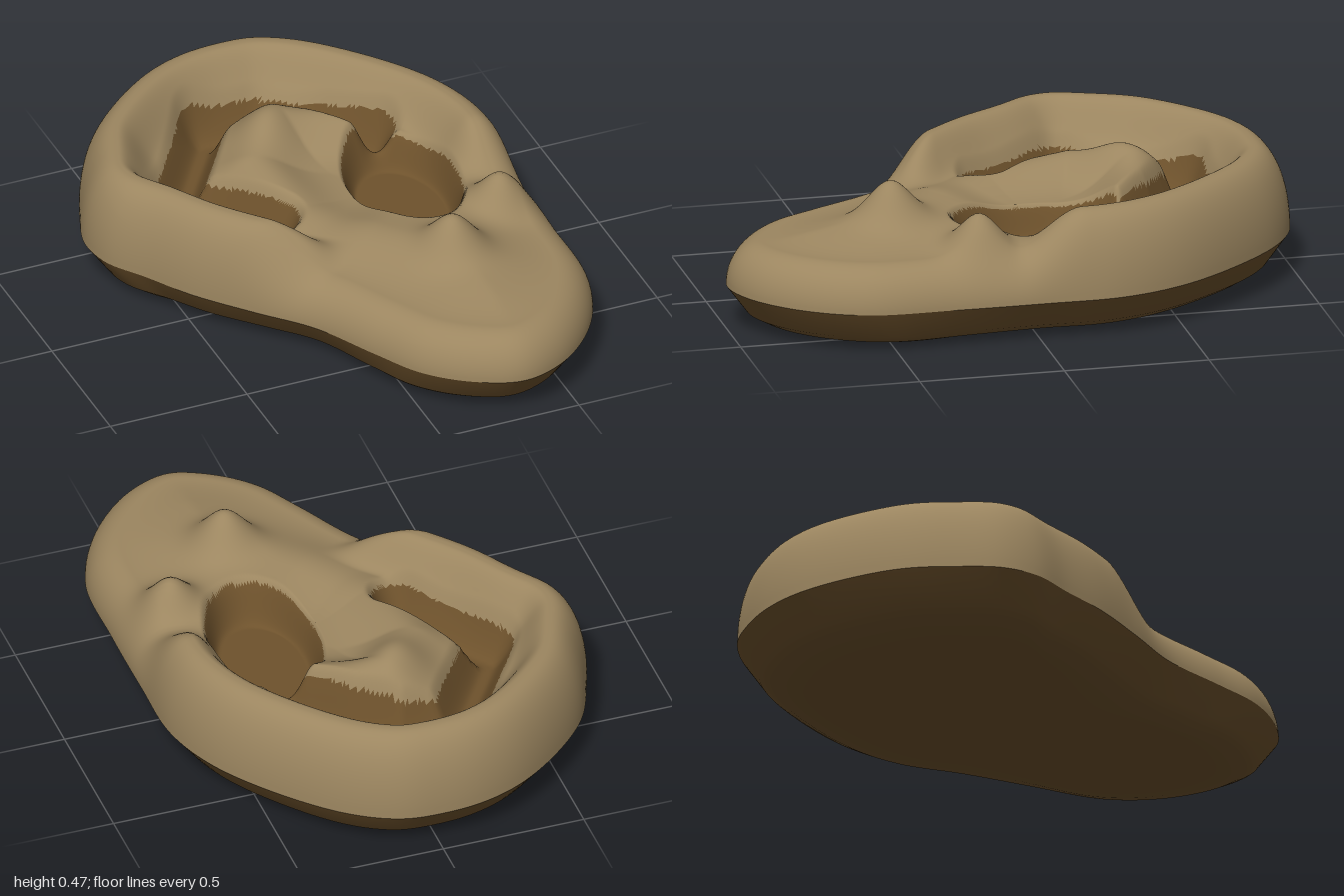
import * as THREE from 'three';

const SEG = 220, RINGS = 130, CX = 0.12, CZ = -0.04, EDGE_Y = 0.15;

// outline of the ear seen from above, as x, z
const outline = new THREE.CatmullRomCurve3([
  [0, -1], [0.14, -0.985], [0.3, -0.9], [0.5, -0.7], [0.65, -0.48], [0.72, -0.27], [0.727, 0], [0.727, 0.3],
  [0.715, 0.6], [0.62, 0.8], [0.46, 0.95], [0.3, 1], [0.14, 0.94], [0, 0.82], [-0.1, 0.65], [-0.22, 0.43],
  [-0.37, 0.26], [-0.52, 0.08], [-0.62, -0.08], [-0.71, -0.22], [-0.73, -0.35], [-0.685, -0.5],
  [-0.61, -0.66], [-0.47, -0.81], [-0.3, -0.93], [-0.15, -0.985],
].map(([x, z]) => new THREE.Vector3(x, 0, z)), true);
const rim = outline.getSpacedPoints(SEG).slice(0, SEG);
const rimPath = rim.map((p) => [p.x, p.z]);

// centre lines of the groove under the rim and of the inner fold
const groovePath = [[-0.18, -0.01], [-0.4, -0.32], [-0.16, -0.67], [0.03, -0.67], [0.2, -0.55], [0.34, -0.41]];
const foldPath = [[0.26, -0.4], [0.03, -0.47], [-0.13, -0.28], [-0.1, 0.02], [0.05, 0.28], [0.28, 0.42]];

const step = THREE.MathUtils.smoothstep;
const mix = THREE.MathUtils.lerp;

function distToPath(x, z, path, closed) {
  let best = Infinity;
  const n = path.length;
  for (let i = 0; i < (closed ? n : n - 1); i++) {
    const [ax, az] = path[i], [bx, bz] = path[(i + 1) % n];
    const dx = bx - ax, dz = bz - az;
    const t = THREE.MathUtils.clamp(((x - ax) * dx + (z - az) * dz) / (dx * dx + dz * dz), 0, 1);
    best = Math.min(best, Math.hypot(x - ax - t * dx, z - az - t * dz));
  }
  return best;
}
const bump = (x, z, bx, bz, s) => Math.exp(-((x - bx) ** 2 + (z - bz) ** 2) / (2 * s * s));
const canalRadius = (x, z) => Math.hypot((x - 0.315) / 0.19, (z + 0.075) / 0.3);

// height of the upper surface
function height(x, z) {
  const d = distToPath(x, z, rimPath, true);
  const side = step(x, -0.2, 0.4);
  const lobe = step(z, mix(0.15, -0.16, side), mix(0.38, 0.09, side));
  const lobeY = 0.3 + 0.04 * step(d, 0.12, 0.4);

  // floor with the raised inner fold
  const fold = distToPath(x, z, foldPath, false);
  let y = mix(0.3, lobeY, lobe) + mix(0.1, 0.02, step(z, -0.5, 0.4)) * Math.exp(-((fold / 0.13) ** 2));
  y += 0.05 * bump(x, z, -0.04, -0.46, 0.08);

  // rolled rim fading out into the lobe
  y = mix(y, 0.44, (1 - step(d, 0.13, 0.27)) * (1 - lobe));

  // two small knobs beside the canal
  y += 0.115 * bump(x, z, 0.28, 0.43, 0.068) + 0.125 * bump(x, z, 0.56, 0.19, 0.065);

  // groove and ear canal
  const groove = distToPath(x, z, groovePath, false);
  y = mix(Math.min(y, 0.18), y, step(groove, 0.01, 0.11));
  y = mix(0.19, y, step(canalRadius(x, z), 0.74, 1.04));

  // rounded outer wall
  const k = 1 - Math.min(d / 0.12, 1);
  return EDGE_Y + (y - EDGE_Y) * Math.sqrt(1 - k * k);
}

const isHollow = (x, z) => canalRadius(x, z) < 0.98 || distToPath(x, z, groovePath, false) < 0.083;

// joins rings of SEG points; pick() chooses the material slot of a triangle
function loft(positions, rings, flip, pick) {
  const slots = [[], []];
  const add = (a, b, c) => {
    const x = (positions[a * 3] + positions[b * 3] + positions[c * 3]) / 3;
    const z = (positions[a * 3 + 2] + positions[b * 3 + 2] + positions[c * 3 + 2]) / 3;
    slots[pick(x, z)].push(...(flip ? [a, c, b] : [a, b, c]));
  };
  for (let k = 0; k < rings; k++) {
    for (let i = 0; i < SEG; i++) {
      const j = (i + 1) % SEG;
      const a = k * SEG + i, b = k * SEG + j, c = a + SEG, d = b + SEG;
      add(a, d, c);
      if (k > 0) add(a, b, d);
    }
  }
  const geo = new THREE.BufferGeometry();
  geo.setAttribute('position', new THREE.Float32BufferAttribute(positions, 3));
  geo.setIndex(slots[0].concat(slots[1]));
  geo.addGroup(0, slots[0].length, 0);
  geo.addGroup(slots[0].length, slots[1].length, 1);
  geo.computeVertexNormals();
  return geo;
}

export function createModel() {
  const skin = new THREE.MeshStandardMaterial({ color: 0x9c8660 });
  skin.name = 'tan';
  const dark = new THREE.MeshStandardMaterial({ color: 0x6e522c });
  dark.name = 'darkBrown';
  const group = new THREE.Group();
  group.name = 'ear';

  // upper surface, with rings packed towards the edge
  const top = [];
  for (let k = 0; k <= RINGS; k++) {
    const r = 1 - (1 - k / RINGS) ** 1.5;
    for (const p of rim) {
      const x = mix(CX, p.x, r), z = mix(CZ, p.z, r);
      top.push(x, k === RINGS ? EDGE_Y : height(x, z), z);
    }
  }
  const upper = new THREE.Mesh(loft(top, RINGS, false, (x, z) => (isHollow(x, z) ? 1 : 0)), [skin, dark]);
  upper.name = 'earSurface';
  group.add(upper);

  // bevelled underside: inset from the outline, height
  const profile = [[9, 0], [0.24, 0], [0.19, 0.005], [0.125, 0.022], [0.075, 0.05], [0, EDGE_Y]];
  const base = [];
  for (const [inset, y] of profile) {
    for (const p of rim) {
      const r = Math.max(0, 1 - inset / Math.hypot(p.x - CX, p.z - CZ));
      base.push(mix(CX, p.x, r), y, mix(CZ, p.z, r));
    }
  }
  const under = new THREE.Mesh(loft(base, profile.length - 1, true, () => 0), dark);
  under.name = 'underside';
  group.add(under);
  return group;
}
